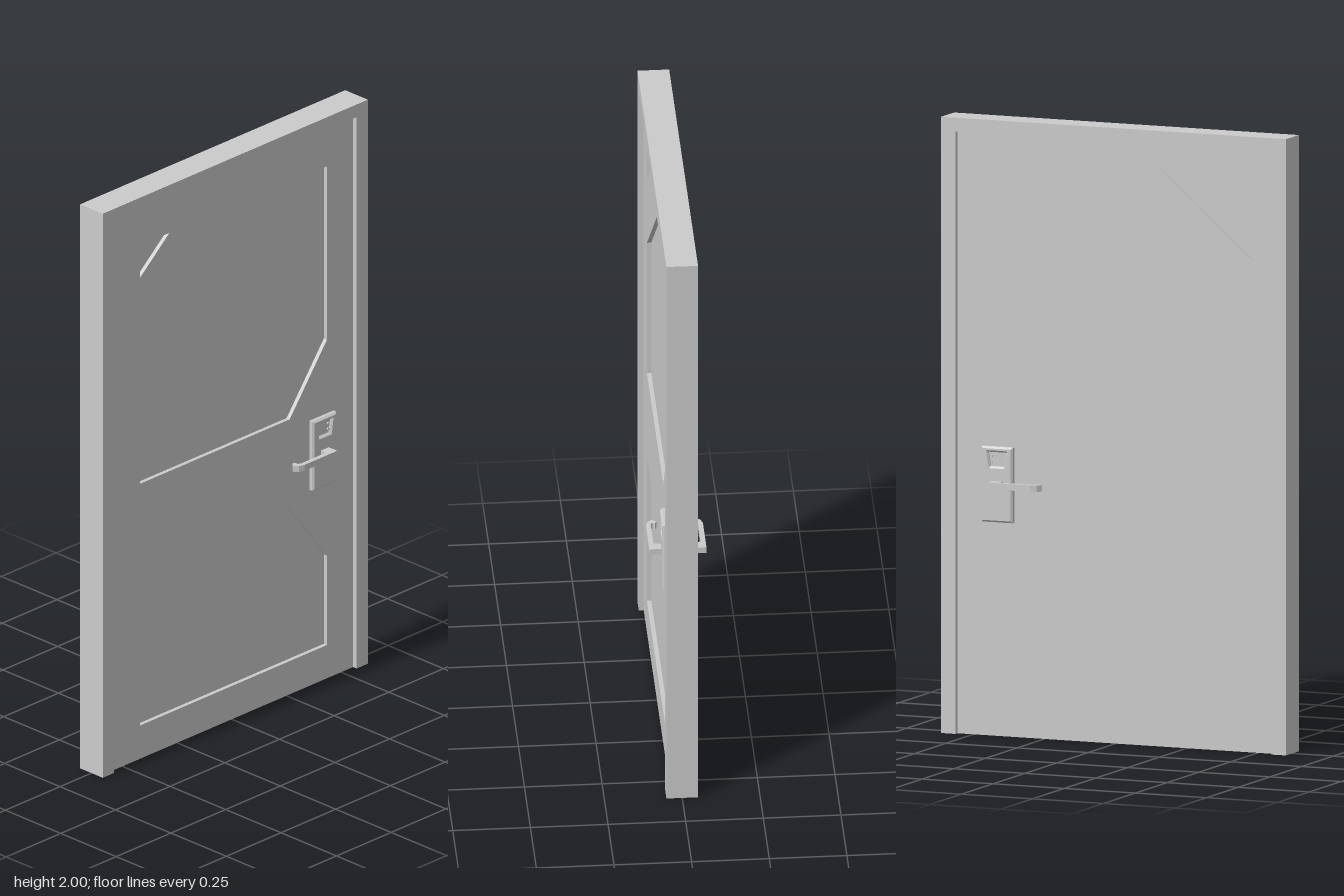
import * as THREE from 'three';

const material = new THREE.MeshStandardMaterial({ color: 0xcccccc, flatShading: true });
const LEAF = 0.035; // half thickness of the door leaf
const CORE = 0.021; // half thickness at the sunken panels

const toPoints = (pts, s = 1) => pts.map(([x, y]) => new THREE.Vector2(x * s, y));

function extrude(outline, holes, options, s = 1) {
  const shape = new THREE.Shape(toPoints(outline, s));
  for (const hole of holes) shape.holes.push(new THREE.Path(toPoints(hole, s)));
  return new THREE.ExtrudeGeometry(shape, { bevelEnabled: false, ...options });
}

function add(parent, name, geometry, x = 0, y = 0, z = 0) {
  const mesh = new THREE.Mesh(geometry, material);
  mesh.name = name;
  mesh.position.set(x, y, z);
  parent.add(mesh);
  return mesh;
}

const rect = (x0, y0, x1, y1) => [[x0, y0], [x1, y0], [x1, y1], [x0, y1]];

// Sunken panels: a corner triangle and two panels with cut corners
const frontPanels = [
  [[-0.42, 1.82], [-0.285, 1.82], [-0.42, 1.705]],
  [[-0.42, 0.975], [0.265, 0.975], [0.435, 1.2], [0.435, 1.815], [-0.005, 1.815], [-0.42, 1.465]],
  [[-0.42, 0.118], [0.435, 0.118], [0.435, 0.435], [0.265, 0.66], [-0.42, 0.66]],
];
const backPanels = [
  [[-0.487, 1.88], [-0.146, 1.88], [-0.487, 1.59]],
  [[-0.487, 0.918], [0.289, 0.918], [0.487, 1.18], [0.487, 1.88], [-0.02, 1.88], [-0.487, 1.48]],
  [[-0.487, 0.08], [0.487, 0.08], [0.487, 0.44], [0.289, 0.70], [-0.487, 0.70]],
];

// One side of the door, facing +z; s = -1 mirrors x so it can be turned to the back
function createSide(name, panels, s) {
  const side = new THREE.Group();
  side.name = name;

  add(side, 'panelSurround',
    extrude(rect(-0.555, 0, 0.555, 1.955), panels, { depth: LEAF - CORE }, s), 0, 0, CORE);

  // Lock plate with a chamfered edge and a tapered recess
  const recess = [[0.372, 0.928], [0.448, 0.928], [0.439, 0.87], [0.382, 0.87]];
  add(side, 'lockPlate', extrude(rect(0.361, 0.701, 0.459, 0.934), [recess], {
    depth: 0.012, bevelEnabled: true, bevelSize: 0.006, bevelThickness: 0.006,
    bevelOffset: 0, bevelSegments: 1,
  }, s), 0, 0, LEAF);
  add(side, 'recessFloor', new THREE.BoxGeometry(0.09, 0.08, 0.008), 0.41 * s, 0.895, LEAF + 0.004);
  for (const y of [0.89, 0.91]) {
    const button = add(side, 'lockButton',
      new THREE.CylinderGeometry(0.004, 0.004, 0.008, 8), 0.43 * s, y, LEAF + 0.01);
    button.rotation.x = Math.PI / 2;
  }

  // Lever: plan outline with a post at one end and a hook at the other
  const lever = extrude([
    [0.425, 0.045], [0.425, 0.092], [0.275, 0.092], [0.255, 0.086], [0.243, 0.071], [0.256, 0.056],
    [0.268, 0.062], [0.263, 0.070], [0.274, 0.076], [0.39, 0.076], [0.39, 0.045],
  ], [], { depth: 0.021 }, s);
  lever.rotateX(Math.PI / 2);
  add(side, 'leverHandle', lever, 0, 0.829, 0);

  if (s < 0) side.rotation.y = Math.PI;
  return side;
}

export function createModel() {
  const door = new THREE.Group();
  door.name = 'door';

  // Frame: two jambs and a head in one piece
  add(door, 'frame', extrude([
    [-0.606, 0], [-0.555, 0], [-0.555, 1.955], [0.555, 1.955],
    [0.555, 0], [0.606, 0], [0.606, 2], [-0.606, 2],
  ], [], { depth: 0.102 }), 0, 0, -0.051);

  // Leaf: a core with a cut-out layer on each side
  add(door, 'leafCore', new THREE.BoxGeometry(1.11, 1.955, CORE * 2), 0, 0.9775, 0);
  door.add(createSide('frontSide', frontPanels, 1));
  door.add(createSide('backSide', backPanels, -1));
  return door;
}
